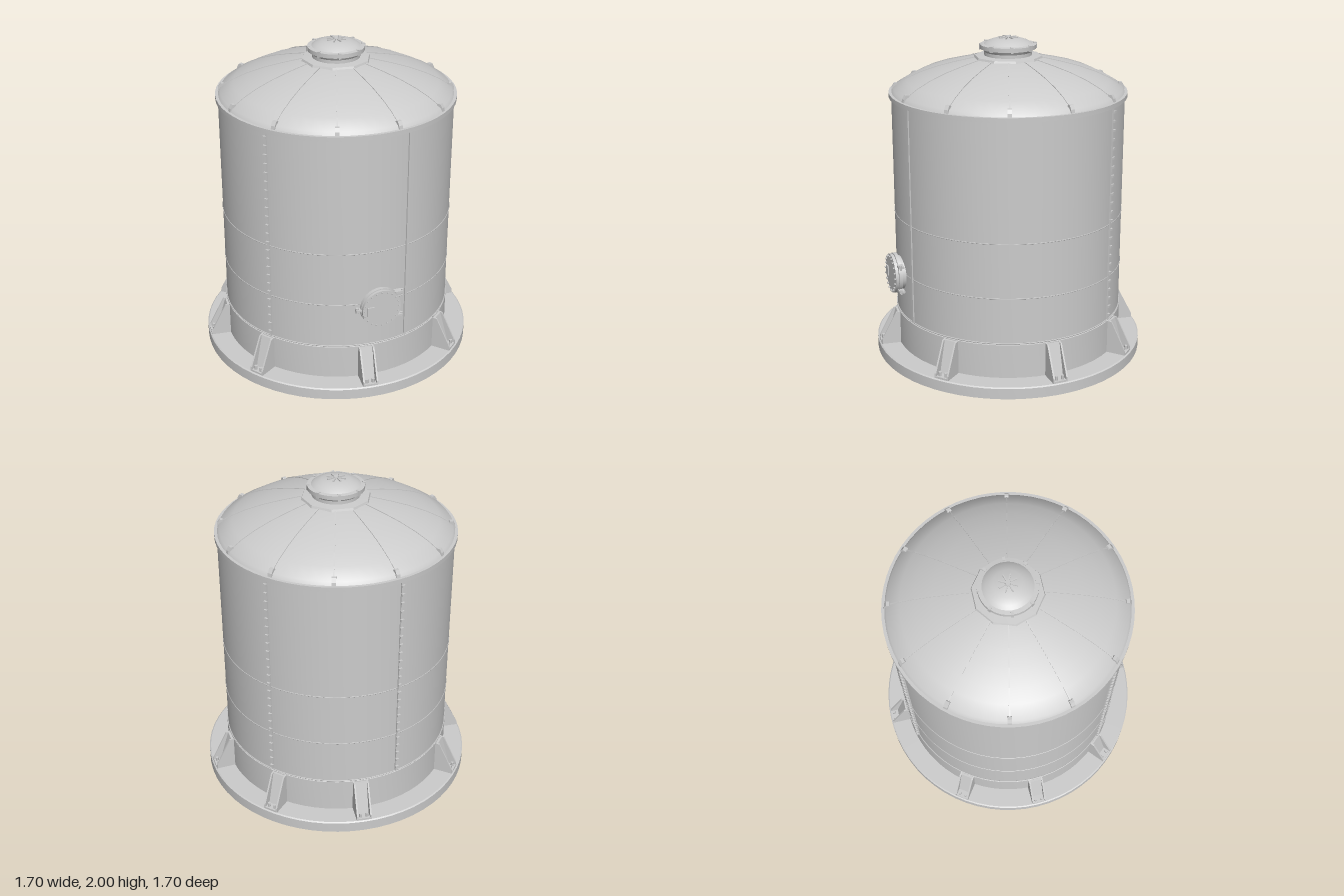
import * as THREE from 'three';
import { toCreasedNormals } from 'three/addons/utils/BufferGeometryUtils.js';

const material = new THREE.MeshStandardMaterial({ color: 0xcccccc });
const R = 0.715; // shell radius
const rad = THREE.MathUtils.degToRad;

function add(parent, name, geometry, x = 0, y = 0, z = 0) {
  const mesh = new THREE.Mesh(geometry, material);
  mesh.name = name;
  mesh.position.set(x, y, z);
  parent.add(mesh);
  return mesh;
}

// Solid of revolution with sharp profile corners
function lathe(points, segments = 64, crease = 0.5) {
  const profile = points.map(([x, y]) => new THREE.Vector2(x, y));
  return toCreasedNormals(new THREE.LatheGeometry(profile, segments), crease);
}

// Group whose local +x points outward at the given angle (0 = +x, 90 = +z)
function radial(parent, name, degrees) {
  const group = new THREE.Group();
  group.name = name;
  group.rotation.y = -rad(degrees);
  parent.add(group);
  return group;
}

// Radial profile (x outward, y up) given a thickness across local z
function plate(points, width) {
  const shape = new THREE.Shape(points.map(([x, y]) => new THREE.Vector2(x, y)));
  const geometry = new THREE.ExtrudeGeometry(shape, { depth: width, bevelEnabled: false });
  return geometry.translate(0, 0, -width / 2);
}

// Outward-facing disc along local x
function disc(radius, depth, sides) {
  return new THREE.CylinderGeometry(radius, radius, depth, sides).rotateZ(-Math.PI / 2);
}

const ring = (radius, tube) => new THREE.TorusGeometry(radius, tube, 6, 64).rotateX(Math.PI / 2);

const domeProfile = [[0.715, 1.665], [0.7, 1.69], [0.62, 1.738], [0.535, 1.777],
  [0.43, 1.813], [0.326, 1.84], [0.2, 1.868]];

function addManhole(tank) {
  const hatch = radial(tank, 'manhole', 100);
  hatch.position.y = 0.565;
  add(hatch, 'manholeNeck', disc(0.105, 0.1, 32), 0.71);
  add(hatch, 'manholeFlange', disc(0.125, 0.022, 32), 0.745);
  add(hatch, 'manholeCover', disc(0.122, 0.018, 32), 0.768);
  for (let i = 0; i < 20; i++) {
    const a = i * Math.PI / 10;
    add(hatch, 'coverBolt', disc(0.006, 0.012, 6), 0.781, 0.11 * Math.sin(a), 0.11 * Math.cos(a));
  }
  // Handle, hinge arm and the two latches
  add(hatch, 'coverHandle', new THREE.BoxGeometry(0.01, 0.06, 0.045), 0.78, -0.005, 0.07);
  add(hatch, 'hingeArm', new THREE.BoxGeometry(0.03, 0.014, 0.05), 0.745, 0, 0.13);
  add(hatch, 'hingePin', new THREE.CylinderGeometry(0.01, 0.01, 0.035, 10), 0.745, 0, 0.145);
  for (const y of [-0.08, 0.08]) {
    add(hatch, 'latch', new THREE.BoxGeometry(0.035, 0.014, 0.05), 0.745, y, -0.115);
    add(hatch, 'latchBolt', new THREE.CylinderGeometry(0.007, 0.007, 0.03, 8), 0.75, y, -0.138);
  }
}

export function createModel() {
  const tank = new THREE.Group();
  tank.name = 'storageTank';

  // Foundation, skirt, shell and rim
  add(tank, 'basePlate', lathe([[0, 0], [0.85, 0], [0.85, 0.066], [0.842, 0.072], [0, 0.072]]));
  add(tank, 'skirt', lathe([[0.72, 0.07], [0.72, 0.285], [0.7, 0.292]]));
  add(tank, 'shell', lathe([[R, 0.285], [R, 1.65]]));
  add(tank, 'shellRim', lathe([[0.7, 1.643], [0.73, 1.643], [0.73, 1.67], [0.69, 1.67]]));
  add(tank, 'bottomSeam', ring(R + 0.003, 0.004), 0, 0.295);
  for (const y of [0.58, 0.92]) add(tank, 'plateSeam', ring(R, 0.003), 0, y);

  // Sloping box gussets with a bolted foot
  for (const angle of [-73, -32, 9, 59, 106, 156, 196, 233]) {
    const gusset = radial(tank, 'gusset', angle);
    add(gusset, 'gussetBody', plate([[0.7, 0.07], [0.795, 0.07], [0.733, 0.28], [0.7, 0.28]], 0.075));
    for (const z of [-0.042, 0.042]) {
      const web = [[0.7, 0.07], [0.84, 0.07], [0.838, 0.1], [0.745, 0.28], [0.7, 0.285]];
      add(gusset, 'gussetWeb', plate(web, 0.01), 0, 0, z);
    }
    add(gusset, 'footPlate', new THREE.BoxGeometry(0.05, 0.012, 0.08), 0.815, 0.078);
    for (const z of [-0.02, 0.02]) {
      add(gusset, 'footBolt', new THREE.CylinderGeometry(0.01, 0.01, 0.03, 6), 0.82, 0.095, z);
    }
  }

  // Riveted vertical strips
  for (const angle of [85, 154, 268, 332]) {
    const strip = radial(tank, 'verticalStrip', angle);
    add(strip, 'stripPlate', new THREE.BoxGeometry(0.012, 1.34, 0.014), R + 0.002, 0.97);
    if (angle === 85) continue;
    for (let i = 0; i < 24; i++) {
      add(strip, 'stripRivet', new THREE.BoxGeometry(0.014, 0.014, 0.02), R + 0.012, 0.33 + i * 0.056);
    }
  }

  // Domed roof with raised seams and edge lugs
  const roof = [...domeProfile, [0, 1.88]];
  add(tank, 'domeRoof', lathe(roof, 60, 1));
  const outer = domeProfile.slice(1).map(([x, y]) => [x, y + 0.004]);
  const inner = domeProfile.slice(1).map(([x, y]) => [x, y - 0.008]).reverse();
  for (let i = 0; i < 12; i++) {
    const segment = radial(tank, 'roofSegment', i * 30);
    add(segment, 'roofSeam', plate([...outer, ...inner], 0.008));
    add(segment, 'edgeLug',
      plate([[0.65, 1.67], [0.715, 1.67], [0.712, 1.69], [0.698, 1.713], [0.68, 1.713]], 0.026));
  }

  // Roof collar, vent neck and cap
  add(tank, 'roofCollar', lathe([[0.215, 1.855], [0.205, 1.88], [0.13, 1.886]], 10, 0.3));
  add(tank, 'ventNeck', lathe([[0.145, 1.875], [0.145, 1.905], [0.16, 1.93]], 32));
  add(tank, 'ventFlange', lathe([[0.14, 1.925], [0.172, 1.925], [0.172, 1.95], [0.14, 1.953]], 32));
  add(tank, 'ventCap', lathe([[0.15, 1.95], [0.125, 1.968], [0.085, 1.982], [0, 1.99]], 32, 1));
  for (let i = 0; i < 8; i++) {
    const clamp = radial(tank, 'ventClamp', i * 45 + 22.5);
    add(clamp, 'clampBlock', new THREE.BoxGeometry(0.02, 0.036, 0.016), 0.166, 1.938);
  }

  // Small spoked handwheel on the cap
  add(tank, 'handwheelHub', new THREE.CylinderGeometry(0.016, 0.02, 0.02, 10), 0, 1.99);
  for (let i = 0; i < 8; i++) {
    const spoke = radial(tank, 'handwheelSpoke', i * 45);
    add(spoke, 'spoke', new THREE.BoxGeometry(0.05, 0.008, 0.007), 0.032, 1.99);
  }

  addManhole(tank);
  return tank;
}
